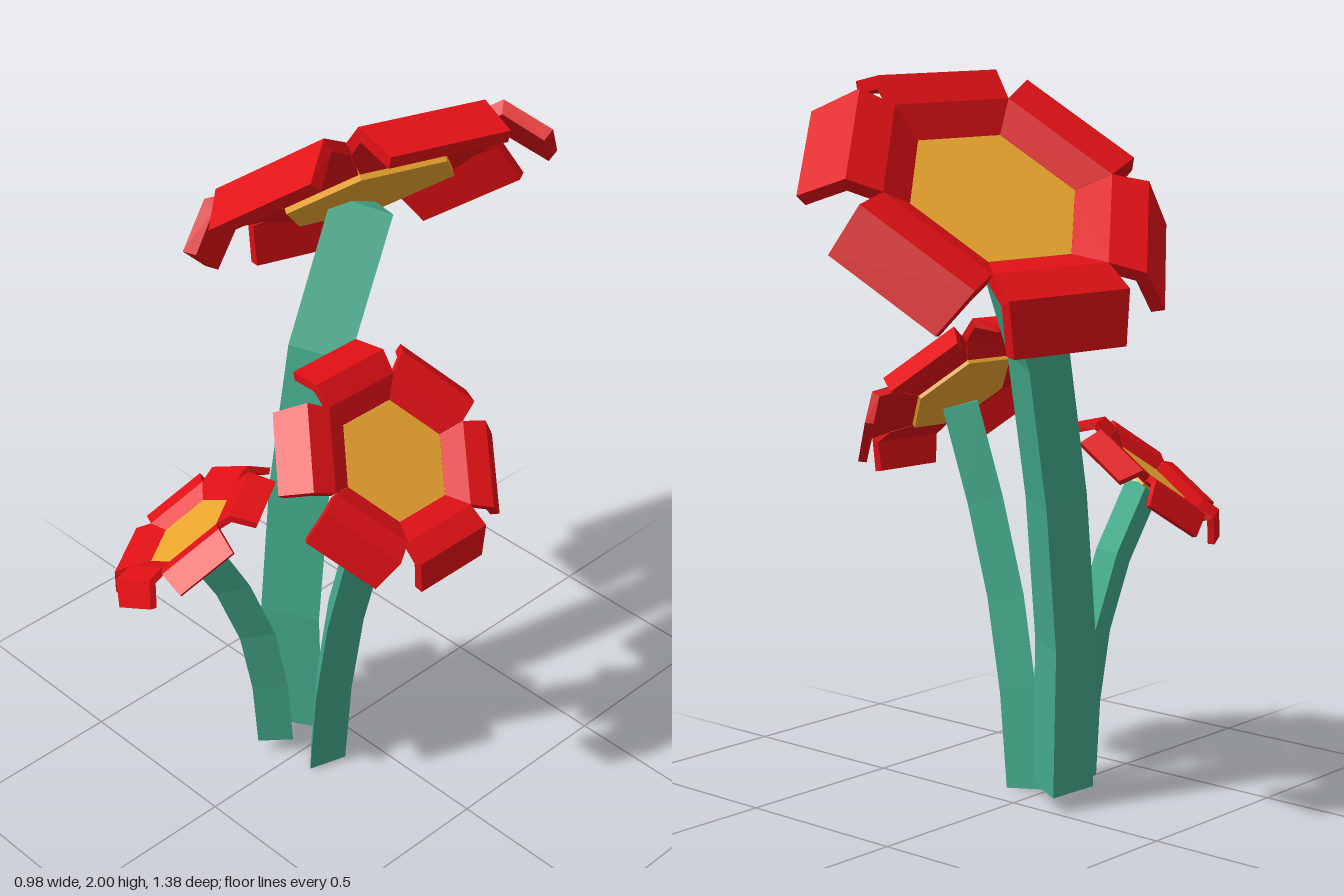
import * as THREE from 'three';

const material = (color) => new THREE.MeshStandardMaterial({ color, flatShading: true });
const red = material(0xe01015);
const gold = material(0xeca62f);
const green = material(0x43a98a);

// Closed solid through a list of equal-sized point loops, with capped ends
function loft(loops) {
  const pos = [];
  const n = loops[0].length;
  const tri = (...pts) => pts.forEach((p) => pos.push(p.x, p.y, p.z));
  for (let s = 0; s < loops.length - 1; s++) {
    const a = loops[s], b = loops[s + 1];
    for (let i = 0; i < n; i++) {
      const j = (i + 1) % n;
      tri(a[i], b[i], a[j]);
      tri(a[j], b[i], b[j]);
    }
  }
  const first = loops[0], last = loops[loops.length - 1];
  for (let i = 1; i < n - 1; i++) {
    tri(first[0], first[i], first[i + 1]);
    tri(last[0], last[i + 1], last[i]);
  }
  const geometry = new THREE.BufferGeometry();
  geometry.setAttribute('position', new THREE.Float32BufferAttribute(pos, 3));
  geometry.computeVertexNormals();
  return geometry;
}

// Folded petal along +x: [top radius, top height, bottom radius, bottom height, half width]
const petalSections = [
  [0.217, 0, 0.22, -0.02, 0.125],
  [0.30, 0.05, 0.305, 0.015, 0.173],
  [0.40, 0.06, 0.385, 0.025, 0.18],
  [0.495, -0.05, 0.465, -0.07, 0.168],
];
function petalGeometry() {
  return loft(petalSections.map(([rt, ht, rb, hb, w]) => [
    new THREE.Vector3(rt, ht, w),
    new THREE.Vector3(rt, ht, -w),
    new THREE.Vector3(rb, hb, -w),
    new THREE.Vector3(rb, hb, w),
  ]));
}

// Flower head: hexagonal centre and six petals, facing along normal
function flowerHead(center, normal, petalDir, scale) {
  const head = new THREE.Group();
  head.name = 'flowerHead';
  const disk = new THREE.Mesh(new THREE.CylinderGeometry(0.25, 0.25, 0.035, 6), gold);
  disk.name = 'flowerCentre';
  disk.position.y = -0.0175;
  head.add(disk);
  const geometry = petalGeometry();
  for (let i = 0; i < 6; i++) {
    const petal = new THREE.Mesh(geometry, red);
    petal.name = 'petal';
    petal.rotation.y = (i * Math.PI) / 3;
    head.add(petal);
  }
  const up = new THREE.Vector3(...normal).normalize();
  const out = new THREE.Vector3(...petalDir);
  out.addScaledVector(up, -out.dot(up)).normalize();
  const side = new THREE.Vector3().crossVectors(out, up);
  head.quaternion.setFromRotationMatrix(new THREE.Matrix4().makeBasis(out, up, side));
  head.position.set(...center);
  head.scale.setScalar(scale);
  return head;
}

// Three-sided stem swept along a smooth path
function stem(points, radius, angle) {
  const path = new THREE.CatmullRomCurve3(points.map((p) => new THREE.Vector3(...p)));
  const loops = [];
  const steps = 4;
  for (let s = 0; s <= steps; s++) {
    const p = path.getPointAt(s / steps);
    const t = path.getTangentAt(s / steps);
    const e1 = new THREE.Vector3(1, 0, 0).addScaledVector(t, -t.x).normalize();
    const e2 = new THREE.Vector3().crossVectors(e1, t);
    loops.push([0, 120, 240].map((d) => {
      const a = THREE.MathUtils.degToRad(d + angle);
      return p.clone()
        .addScaledVector(e1, radius * Math.cos(a))
        .addScaledVector(e2, radius * Math.sin(a));
    }));
  }
  const mesh = new THREE.Mesh(loft(loops), green);
  mesh.name = 'stem';
  return mesh;
}

const flowers = [
  {
    name: 'tallFlower', center: [-0.11, 1.685, -0.2], normal: [-0.64, 0.74, -0.21],
    petalDir: [0.72, 0.67, 0.18], scale: 1, radius: 0.098, angle: 0,
    path: [[-0.095, 0.045, 0.085], [-0.095, 0.45, 0.095], [-0.09, 0.85, 0.06],
      [-0.095, 1.25, -0.02], [-0.115, 1.62, -0.2]],
  },
  {
    name: 'middleFlower', center: [0.275, 1.13, 0.08], normal: [0.69, 0.72, 0.02],
    petalDir: [-0.72, 0.69, 0], scale: 0.66, radius: 0.066, angle: 75,
    path: [[0.06, 0.01, 0.14], [0.09, 0.35, 0.135], [0.15, 0.68, 0.125], [0.255, 1.085, 0.09]],
  },
  {
    name: 'smallFlower', center: [-0.125, 0.88, 0.445], normal: [-0.5, 0.79, 0.36],
    petalDir: [0.68, 0.62, -0.38], scale: 0.52, radius: 0.058, angle: 105,
    path: [[-0.07, 0.05, 0.2], [-0.07, 0.35, 0.23], [-0.08, 0.6, 0.3], [-0.11, 0.85, 0.43]],
  },
];

export function createModel() {
  const model = new THREE.Group();
  model.name = 'flowerCluster';
  for (const f of flowers) {
    const flower = new THREE.Group();
    flower.name = f.name;
    flower.add(stem(f.path, f.radius, f.angle));
    flower.add(flowerHead(f.center, f.normal, f.petalDir, f.scale));
    model.add(flower);
  }
  return model;
}
